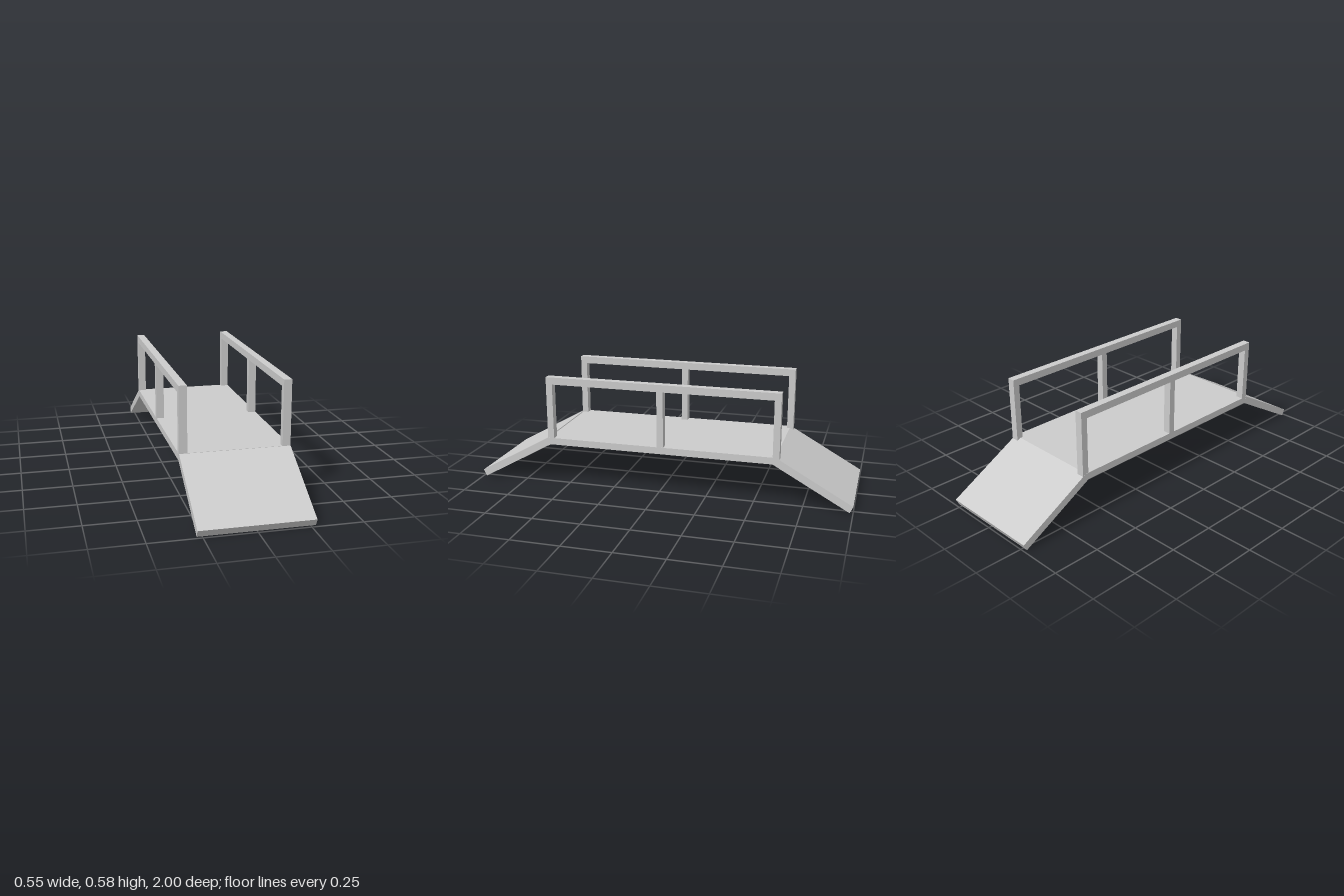
import * as THREE from 'three';

const material = new THREE.MeshStandardMaterial({ color: 0xcccccc, flatShading: true });
const WIDTH = 0.55;

function box(name, [w, h, d], [x, y, z]) {
  const mesh = new THREE.Mesh(new THREE.BoxGeometry(w, h, d), material);
  mesh.name = name;
  mesh.position.set(x, y, z);
  return mesh;
}

// Sloped slab: side profile in (z, y), extruded across the width
function ramp(name, side) {
  const profile = [[0.59, 0.221], [0.983, 0.002], [1.0, 0.036], [0.608, 0.256]];
  const shape = new THREE.Shape(profile.map(([z, y]) => new THREE.Vector2(-z * side, y)));
  const geometry = new THREE.ExtrudeGeometry(shape, { depth: WIDTH, bevelEnabled: false });
  geometry.translate(0, 0, -WIDTH / 2);
  geometry.rotateY(Math.PI / 2);
  const mesh = new THREE.Mesh(geometry, material);
  mesh.name = name;
  return mesh;
}

// Handrail on one edge of the deck, carried by three posts
function railing(name, side) {
  const group = new THREE.Group();
  group.name = name;
  const x = side * 0.2545;
  const centre = -0.01;
  group.add(box('handrail', [0.04, 0.038, 1.234], [x, 0.567, centre]));
  ['frontPost', 'middlePost', 'rearPost'].forEach((post, i) => {
    group.add(box(post, [0.04, 0.308, 0.034], [x, 0.396, centre + (1 - i) * 0.6]));
  });
  return group;
}

export function createModel() {
  const model = new THREE.Group();
  model.name = 'rampBridge';

  // Walkway
  model.add(box('deck', [WIDTH, 0.036, 1.21], [0, 0.237, -0.003]));
  model.add(ramp('frontRamp', 1), ramp('rearRamp', -1));

  // Railings
  model.add(railing('leftRailing', 1), railing('rightRailing', -1));
  return model;
}
